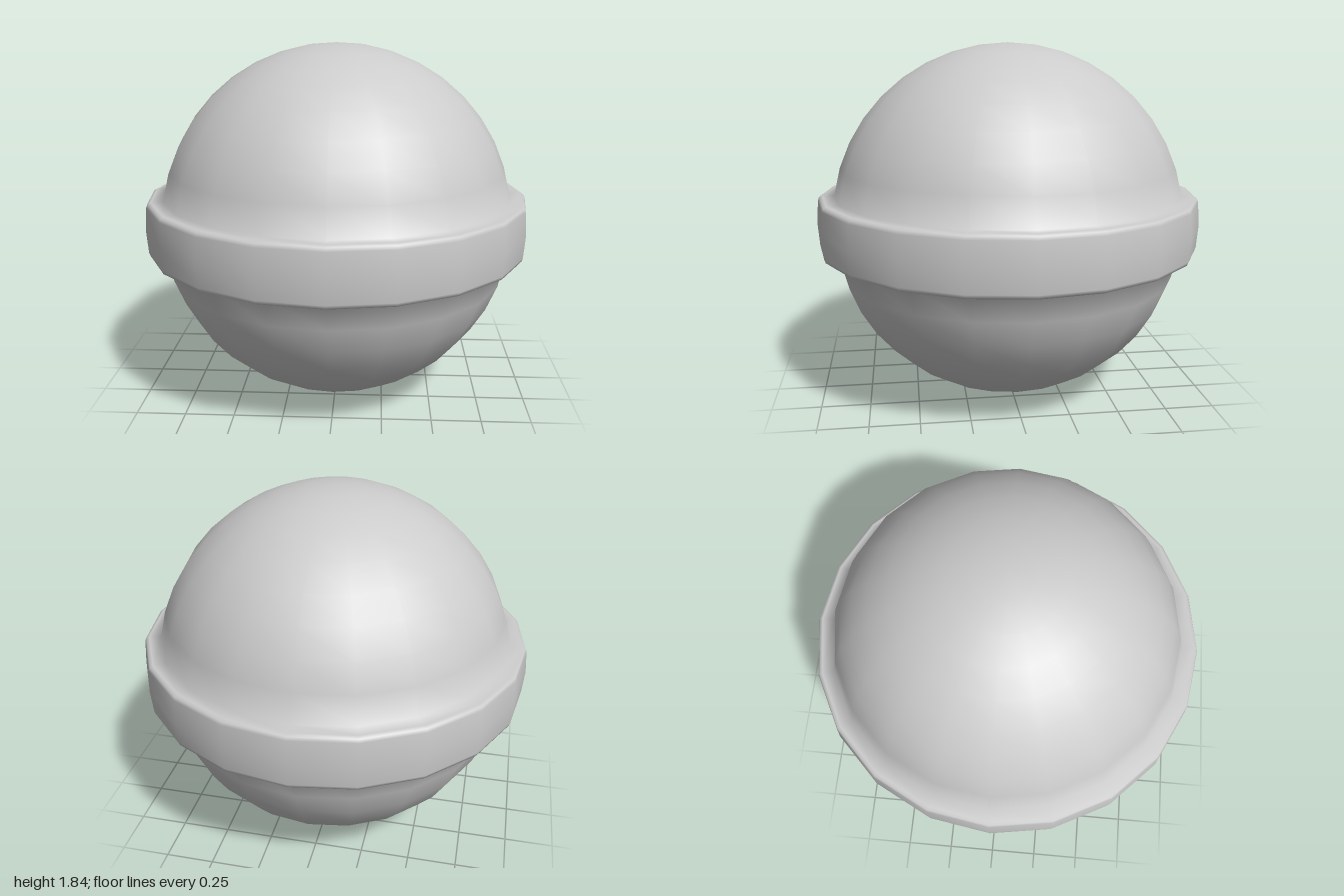
import * as THREE from 'three';

export function createModel() {
  const group = new THREE.Group();
  const R = 0.918, STEPS = 20;
  const profile = [];
  const add = (r, y) => profile.push(new THREE.Vector2(r, y));

  // Meridian from bottom to top; the middle rings step out into the raised band
  for (let i = 0; i <= STEPS; i++) {
    const a = (i / STEPS - 0.5) * Math.PI;
    if (i === STEPS / 2) {
      const h = R * Math.sin(Math.PI / STEPS);
      const band = [[0.968, h], [0.985, h - 0.008], [0.991, h - 0.025]];
      band.forEach(([r, y]) => add(r, R - y));
      add(1, R);
      band.reverse().forEach(([r, y]) => add(r, R + y));
    } else {
      add(i % STEPS === 0 ? 0 : R * Math.cos(a), R + R * Math.sin(a));
    }
  }

  // One smooth surface, so the band blends into the ball
  const geometry = new THREE.LatheGeometry(profile, 20);
  const { position, normal } = geometry.attributes;
  for (let i = 0; i < position.count; i++) {
    const y = position.getY(i);
    // Level normals at the two poles
    if (Math.abs(y - R) > R - 1e-4) normal.setXYZ(i, 0, Math.sign(y - R), 0);
  }

  const ball = new THREE.Mesh(geometry, new THREE.MeshStandardMaterial({ color: 0xcccccc }));
  ball.name = 'bandedBall';
  group.add(ball);
  return group;
}
